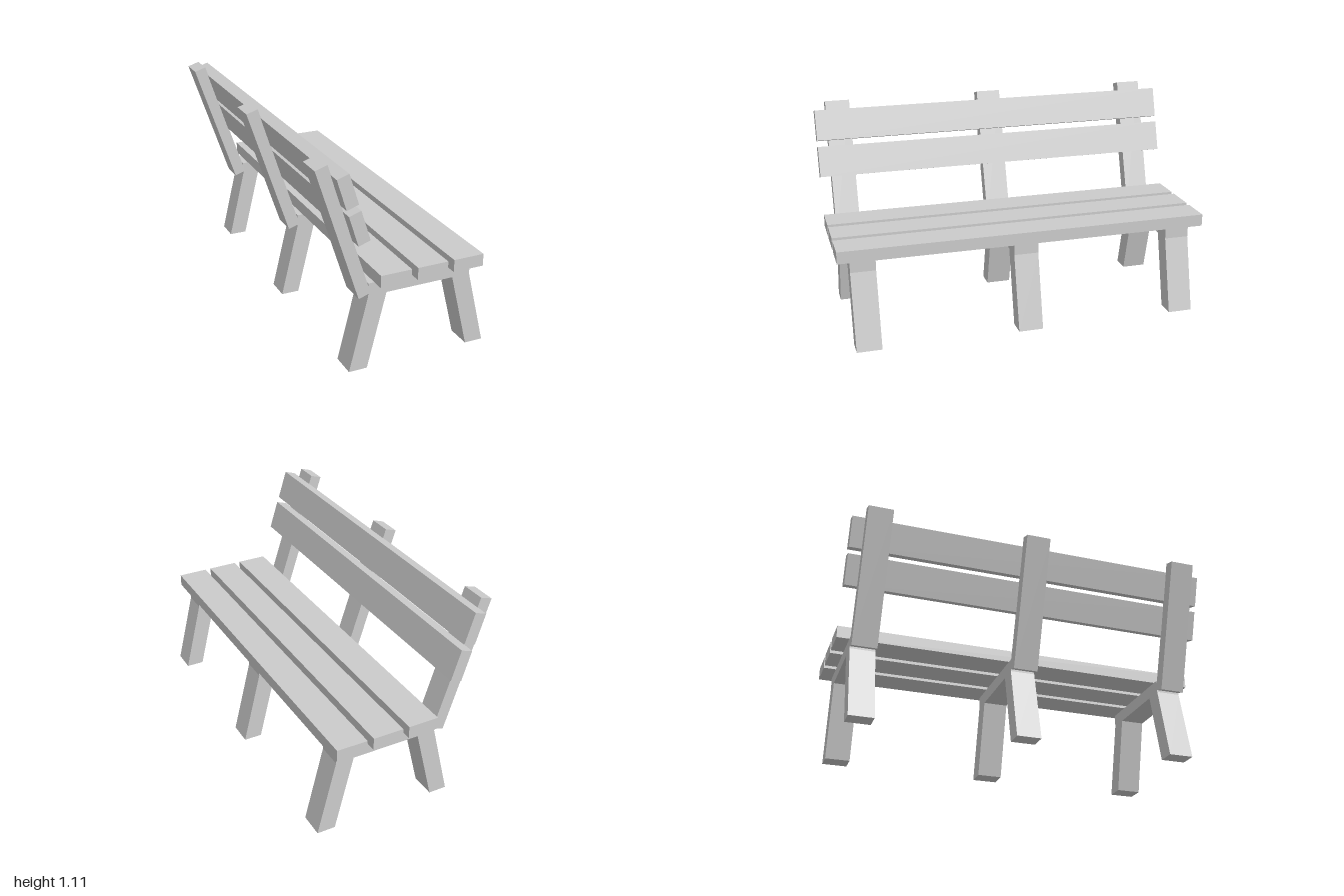
import * as THREE from 'three';

const material = new THREE.MeshStandardMaterial({ color: 0xcccccc, flatShading: true });

// Extrude a side profile (x, y) along z, centred on z
function beam(name, points, width, z = 0) {
  const shape = new THREE.Shape(points.map(([x, y]) => new THREE.Vector2(x, y)));
  const geometry = new THREE.ExtrudeGeometry(shape, { depth: width, bevelEnabled: false });
  geometry.translate(0, 0, -width / 2);
  const mesh = new THREE.Mesh(geometry, material);
  mesh.name = name;
  mesh.position.z = z;
  return mesh;
}

export function createModel() {
  const bench = new THREE.Group();
  bench.name = 'bench';

  const legProfile = [
    [-0.293, 0], [-0.195, 0], [-0.096, 0.402], [0.272, 0.402], [0.372, 0],
    [0.47, 0], [0.37, 0.402], [0.37, 0.47], [-0.195, 0.47], [-0.195, 0.402],
  ];
  const postProfile = [[-0.246, 0.397], [-0.183, 0.417], [-0.41, 1.111], [-0.473, 1.091]];

  // Three supports, each a splayed leg frame with a leaning back post
  for (const z of [-0.867, 0, 0.867]) {
    const support = new THREE.Group();
    support.name = 'support';
    support.position.z = z;
    support.add(beam('legFrame', legProfile, 0.133), beam('backPost', postProfile, 0.133));
    bench.add(support);
  }

  // Seat planks
  for (const x of [-0.08, 0.12, 0.32]) {
    const plank = new THREE.Mesh(new THREE.BoxGeometry(0.166, 0.065, 2), material);
    plank.name = 'seatPlank';
    plank.position.set(x, 0.5025, 0);
    bench.add(plank);
  }

  // Backrest planks, resting on the front of the posts
  for (const [x, y] of [[-0.346, 0.903], [-0.284, 0.713]]) {
    const profile = [[x, y], [x + 0.062, y + 0.02], [x + 0.012, y + 0.178], [x - 0.05, y + 0.158]];
    bench.add(beam('backPlank', profile, 2));
  }
  return bench;
}
